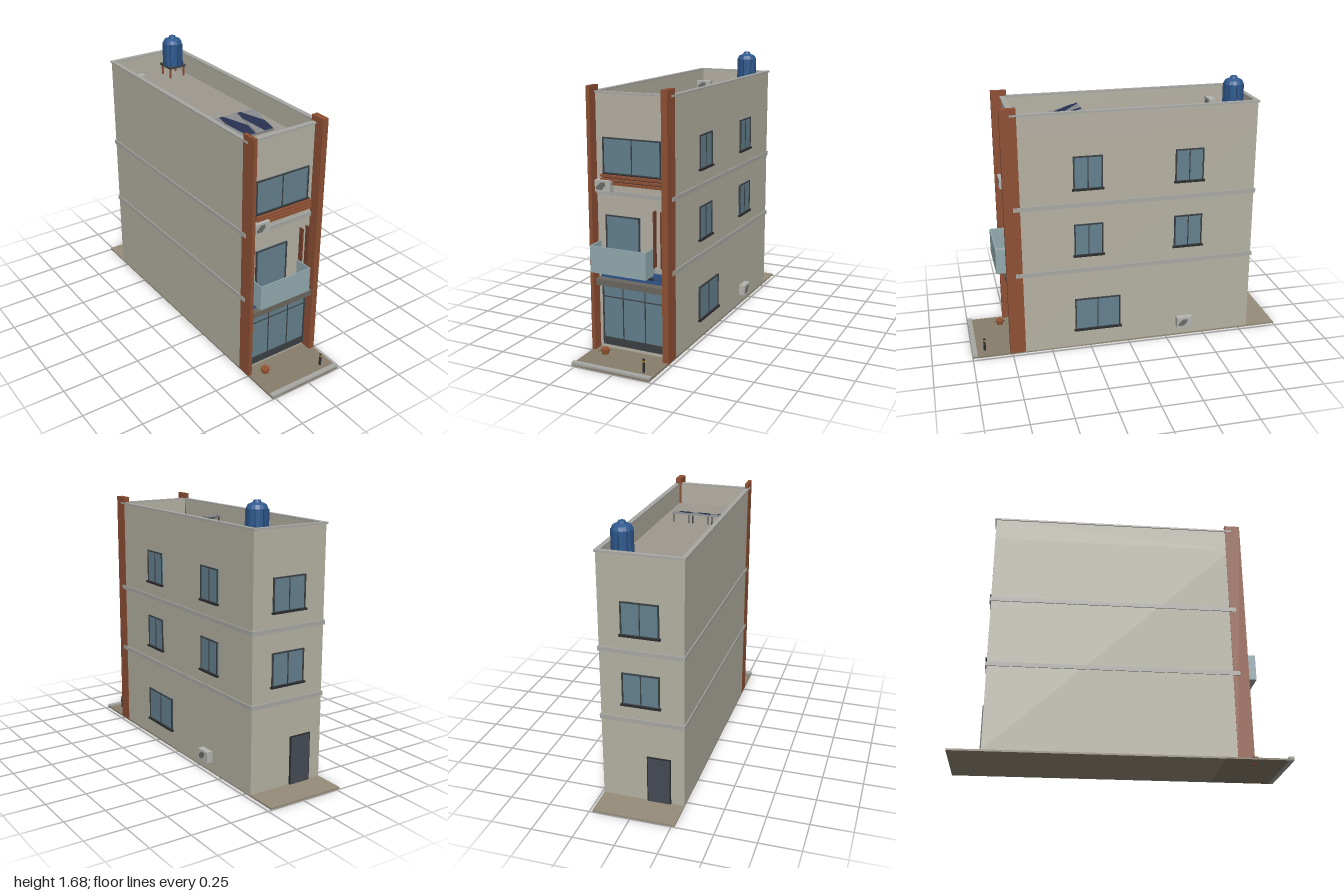
import * as THREE from 'three';

const C = { wall: 0xb5b1a3, trim: 0xa8a8a4, roof: 0x9f9a90, brick: 0x8e5034, glass: 0x64818f, frame: 0x3c4043,
  dark: 0x2a2c2e, pave: 0x877d6b, yard: 0x968c7a, ac: 0xb4b4b0, blue: 0x2f5a90, navy: 0x26304f, rail: 0x93abb0 };
const mats = {};
const mat = (c) => (mats[c] ??= new THREE.MeshStandardMaterial({ color: c, flatShading: true, side: THREE.DoubleSide }));

function mesh(parent, name, geo, color, x = 0, y = 0, z = 0) {
  const m = new THREE.Mesh(geo, mat(color));
  m.name = name;
  m.position.set(x, y, z);
  parent.add(m);
  return m;
}
// Box given by its limits on each axis
const box = (p, name, color, x0, x1, y0, y1, z0, z1) =>
  mesh(p, name, new THREE.BoxGeometry(x1 - x0, y1 - y0, z1 - z0), color, (x0 + x1) / 2, (y0 + y1) / 2, (z0 + z1) / 2);

function group(parent, name, x = 0, y = 0, z = 0, ry = 0) {
  const g = new THREE.Group();
  g.name = name;
  g.position.set(x, y, z);
  g.rotation.y = ry;
  parent.add(g);
  return g;
}

// Rectangular ring lying flat, outer and inner limits as [x0, x1, z0, z1]
function ring(parent, name, color, o, i, y0, y1) {
  const pts = ([x0, x1, z0, z1]) => [[x0, -z0], [x1, -z0], [x1, -z1], [x0, -z1]].map((p) => new THREE.Vector2(...p));
  const s = new THREE.Shape(pts(o));
  s.holes.push(new THREE.Path(pts(i)));
  const geo = new THREE.ExtrudeGeometry(s, { depth: y1 - y0, bevelEnabled: false }).rotateX(-Math.PI / 2);
  return mesh(parent, name, geo, color, 0, y0, 0);
}

// Window facing local +z, bottom centre at the origin
function addWindow(parent, name, x, y, z, ry, w, h, { mullions = [0], transom = 0, sill = true } = {}) {
  const g = group(parent, name, x, y, z, ry), t = 0.008, d = 0.01;
  box(g, 'glass', C.glass, -w / 2, w / 2, 0, h, -0.004, 0.005);
  for (const s of [-1, 1]) box(g, 'frameSide', C.frame, s * (w / 2 - t / 2) - t / 2, s * (w / 2 - t / 2) + t / 2, 0, h, 0, d);
  box(g, 'frameTop', C.frame, -w / 2, w / 2, h - t, h, 0, d);
  box(g, 'frameBottom', C.frame, -w / 2, w / 2, 0, t, 0, d);
  for (const m of mullions) box(g, 'mullion', C.frame, m - 0.003, m + 0.003, 0, h, 0, 0.008);
  if (transom) box(g, 'transom', C.frame, -w / 2, w / 2, transom - 0.003, transom + 0.003, 0, 0.008);
  if (sill) box(g, 'sill', C.dark, -w / 2 - 0.008, w / 2 + 0.008, -0.006, 0.005, 0, 0.018);
}

// Air conditioner box with a dark fan grille, back against local z = 0
function addAirConditioner(parent, x, y, z, ry) {
  const g = group(parent, 'airConditioner', x, y, z, ry);
  box(g, 'casing', C.ac, -0.05, 0.05, 0, 0.068, 0, 0.04);
  const s = new THREE.Shape([[-0.04, 0.012], [-0.005, 0.012], [0.018, 0.036], [0.018, 0.056], [-0.012, 0.056], [-0.04, 0.03]]
    .map((p) => new THREE.Vector2(...p)));
  mesh(g, 'grille', new THREE.ShapeGeometry(s), 0x6c6c6a, 0, 0, 0.041);
}

export function createModel() {
  const root = new THREE.Group();
  root.name = 'townhouse';

  // Ground
  box(root, 'frontPavement', C.pave, -0.27, 0.23, 0.003, 0.014, 0.6, 1);
  box(root, 'yard', C.yard, -0.27, 0.23, 0.003, 0.014, -1, 0.6);
  box(root, 'kerb', C.trim, -0.27, 0.23, 0.003, 0.026, 0.97, 1);

  // Body, parapet and floor bands
  box(root, 'body', C.wall, -0.27, 0.23, 0.01, 1.4, -0.805, 0.7);
  box(root, 'roof', C.roof, -0.25, 0.207, 1.4, 1.41, -0.785, 0.68);
  const inner = [-0.25, 0.207, -0.785, 0.68];
  ring(root, 'parapet', C.wall, [-0.27, 0.23, -0.805, 0.7], inner, 1.4, 1.537);
  ring(root, 'coping', C.trim, [-0.276, 0.237, -0.814, 0.71], inner, 1.535, 1.546);
  for (const y of [0.525, 0.955]) box(root, 'floorBand', C.trim, -0.276, 0.237, y, y + 0.026, -0.814, 0.71);

  // Front pillars
  box(root, 'leftPillar', C.brick, 0.195, 0.233, 0.012, 1.58, 0.668, 0.765);
  box(root, 'rightPillar', C.brick, -0.272, -0.25, 0.012, 1.58, 0.668, 0.765);

  // Shop front, canopy and sign panel
  addWindow(root, 'shopFront', -0.018, 0.038, 0.7, 0, 0.415, 0.372, { mullions: [-0.072, 0.073], transom: 0.3, sill: false });
  box(root, 'shopPlinth', C.frame, -0.225, 0.19, 0.038, 0.085, 0.7, 0.712);
  box(root, 'canopy', 0x6b6860, -0.24, 0.195, 0.418, 0.456, 0.7, 0.755);
  box(root, 'signPanel', 0x31558c, -0.222, 0.18, 0.463, 0.525, 0.7, 0.725);
  box(root, 'signStrip', C.dark, -0.16, 0.12, 0.486, 0.5, 0.725, 0.73);

  // Balcony with glass railing
  const balcony = group(root, 'balcony');
  box(balcony, 'balconySlab', C.trim, -0.235, 0.115, 0.515, 0.535, 0.7, 0.812);
  box(balcony, 'frontRailing', C.rail, -0.238, 0.12, 0.515, 0.675, 0.812, 0.818);
  for (const x of [-0.238, 0.114]) box(balcony, 'sideRailing', C.rail, x, x + 0.006, 0.515, 0.675, 0.7, 0.812);
  addWindow(root, 'balconyDoor', -0.084, 0.545, 0.7, 0, 0.222, 0.292, { mullions: [], sill: false });
  for (const x of [0.126, 0.172]) box(root, 'verticalFin', 0x75402c, x - 0.004, x + 0.004, 0.562, 0.892, 0.7, 0.73);

  // Top floor window with slatted planter rail
  addWindow(root, 'topFrontWindow', -0.021, 1.078, 0.7, 0, 0.37, 0.21, { sill: false });
  box(root, 'slatBacking', C.dark, -0.21, 0.175, 1.018, 1.08, 0.7, 0.712);
  for (let i = 0; i < 3; i++) box(root, 'slat', C.brick, -0.212, 0.176, 1.02 + i * 0.021, 1.033 + i * 0.021, 0.71, 0.73);

  // Side and back windows
  const H = Math.PI / 2;
  for (const y of [0.637, 1.067]) {
    for (const z of [0.255, -0.378]) addWindow(root, 'sideWindow', 0.23, y, z, H, 0.18, 0.207);
    addWindow(root, 'backWindow', -0.015, y, -0.805, Math.PI, 0.225, 0.2);
  }
  addWindow(root, 'groundSideWindow', 0.23, 0.127, 0.203, H, 0.29, 0.214);
  box(root, 'backDoorFrame', C.dark, -0.19, -0.045, 0.014, 0.312, -0.813, -0.8);
  box(root, 'backDoor', 0x454a54, -0.183, -0.052, 0.014, 0.305, -0.817, -0.8);

  // Air conditioners
  addAirConditioner(root, -0.187, 0.978, 0.71, 0);
  addAirConditioner(root, 0.233, 0.076, -0.362, H);
  addAirConditioner(root, -0.175, 1.41, -0.657, 0);

  // Tilted solar panels
  for (let i = 0; i < 3; i++) {
    const g = group(root, 'solarPanel', -0.188 + i * 0.125, 1.445, 0.325);
    g.rotation.x = 0.25;
    box(g, 'panelFrame', 0x85878a, -0.06, 0.06, -0.005, 0.005, -0.107, 0.107);
    const s = new THREE.Shape([[-0.06, 0.104], [-0.035, 0.104], [0.055, -0.02], [0.055, -0.104], [-0.005, -0.104], [-0.06, 0.04]]
      .map((p) => new THREE.Vector2(...p)));
    mesh(g, 'panelCells', new THREE.ShapeGeometry(s).rotateX(-H), C.navy, 0, 0.0065, 0);
    for (const x of [-0.05, 0.05]) box(root, 'panelLeg', C.frame, g.position.x + x - 0.003, g.position.x + x + 0.003, 1.41, 1.465, 0.232, 0.238);
  }

  // Water tank on a stand
  const tank = group(root, 'waterTank', 0.12, 0, -0.68);
  box(tank, 'standTop', C.frame, -0.062, 0.062, 1.475, 1.487, -0.062, 0.062);
  for (const x of [-0.05, 0.05]) for (const z of [-0.05, 0.05])
    box(tank, 'standLeg', C.brick, x - 0.005, x + 0.005, 1.41, 1.476, z - 0.005, z + 0.005);
  const profile = [[0, 1.487], [0.062, 1.487], [0.062, 1.635], [0.052, 1.656], [0.024, 1.668], [0.02, 1.68], [0, 1.68]];
  mesh(tank, 'tankShell', new THREE.LatheGeometry(profile.map((p) => new THREE.Vector2(...p)), 16), C.blue);
  for (let i = 0; i < 8; i++) {
    const a = (i / 8) * Math.PI * 2;
    const rib = mesh(tank, 'tankRib', new THREE.BoxGeometry(0.008, 0.14, 0.01), 0x284c7c, Math.sin(a) * 0.062, 1.56, Math.cos(a) * 0.062);
    rib.rotation.y = a;
  }

  // Bollard
  mesh(root, 'bollard', new THREE.CylinderGeometry(0.007, 0.008, 0.08, 10), C.dark, 0.155, 0.053, 0.92);
  mesh(root, 'bollardBand', new THREE.CylinderGeometry(0.0085, 0.0085, 0.01, 10), 0xb08a30, 0.155, 0.08, 0.92);

  // Potted plant with spreading leaves
  const plant = group(root, 'pottedPlant', -0.168, 0, 0.79);
  mesh(plant, 'pot', new THREE.CylinderGeometry(0.026, 0.018, 0.046, 10), 0x9a5230, 0, 0.023, 0);
  for (let i = 0; i < 6; i++) {
    const a = (i / 6) * Math.PI * 2;
    const leaf = mesh(plant, 'leaf', new THREE.ConeGeometry(0.006, 0.045, 5), 0x4a5a30, Math.sin(a) * 0.024, 0.035, Math.cos(a) * 0.024);
    leaf.rotation.set(1.9, a, 0, 'YXZ');
  }
  return root;
}
